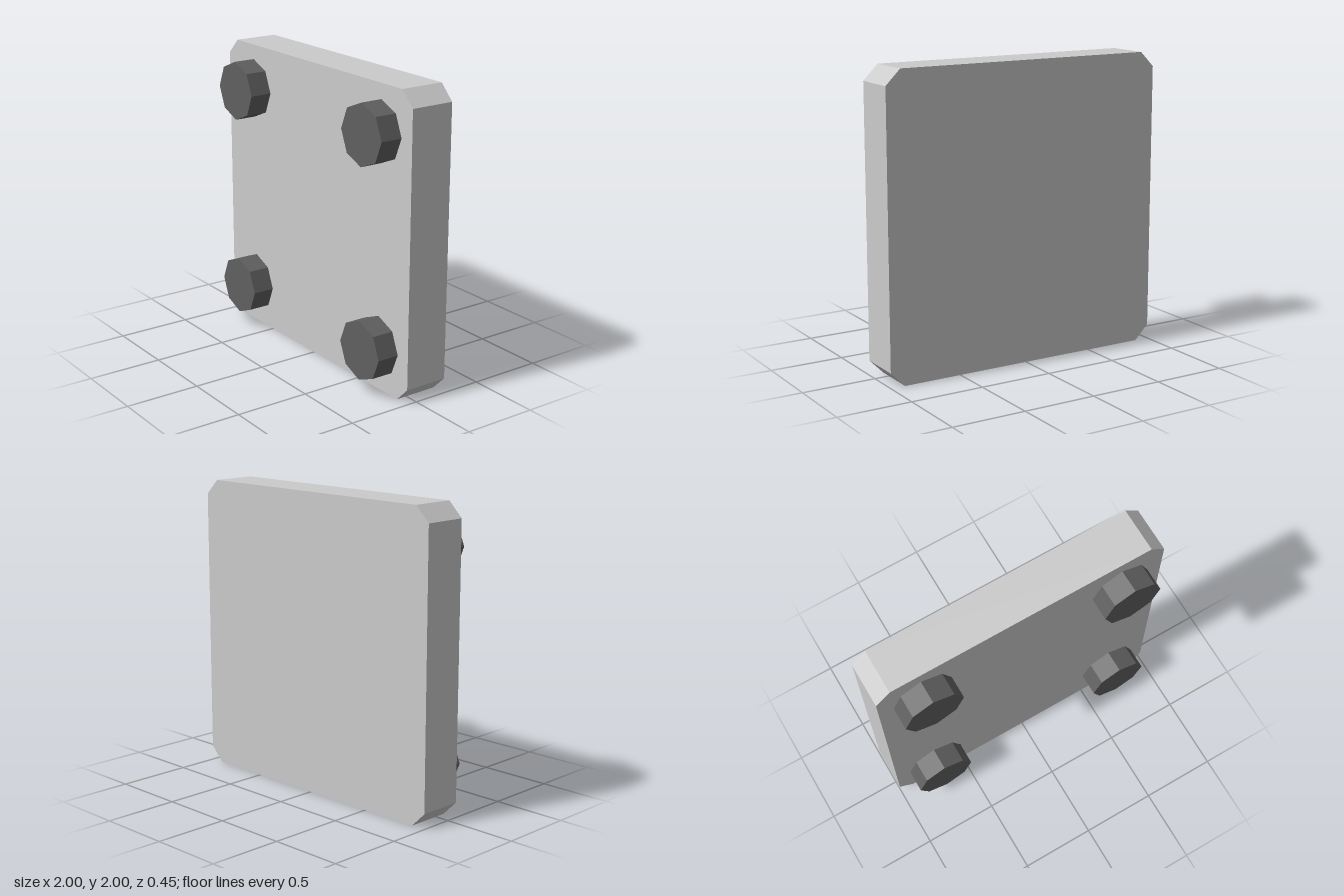
import * as THREE from 'three';

export function createModel() {
  const model = new THREE.Group();
  const plateMaterial = new THREE.MeshStandardMaterial({ color: 0xcccccc, flatShading: true });
  const boltMaterial = new THREE.MeshStandardMaterial({ color: 0x606060, flatShading: true });

  const half = 1, chamfer = 0.1;
  const back = -0.225, face = 0.075, front = 0.225;

  // Square plate with chamfered corners
  const inner = half - chamfer;
  const outline = new THREE.Shape([
    [inner, -half], [half, -inner], [half, inner], [inner, half],
    [-inner, half], [-half, inner], [-half, -inner], [-inner, -half],
  ].map(([x, y]) => new THREE.Vector2(x, y)));
  const plate = new THREE.Mesh(
    new THREE.ExtrudeGeometry(outline, { depth: face - back, bevelEnabled: false }),
    plateMaterial
  );
  plate.name = 'plate';
  plate.position.set(0, half, back);
  model.add(plate);

  // Octagonal bolt heads, one near each corner
  const boltGeometry = new THREE.CylinderGeometry(0.2, 0.2, front - face, 8);
  boltGeometry.rotateX(Math.PI / 2);
  for (const [row, sy] of [['upper', 1], ['lower', -1]]) {
    for (const [side, sx] of [['Left', 1], ['Right', -1]]) {
      const bolt = new THREE.Mesh(boltGeometry, boltMaterial);
      bolt.name = `${row}${side}Bolt`;
      bolt.position.set(sx * 0.7, half + sy * 0.7, (face + front) / 2);
      model.add(bolt);
    }
  }

  return model;
}
